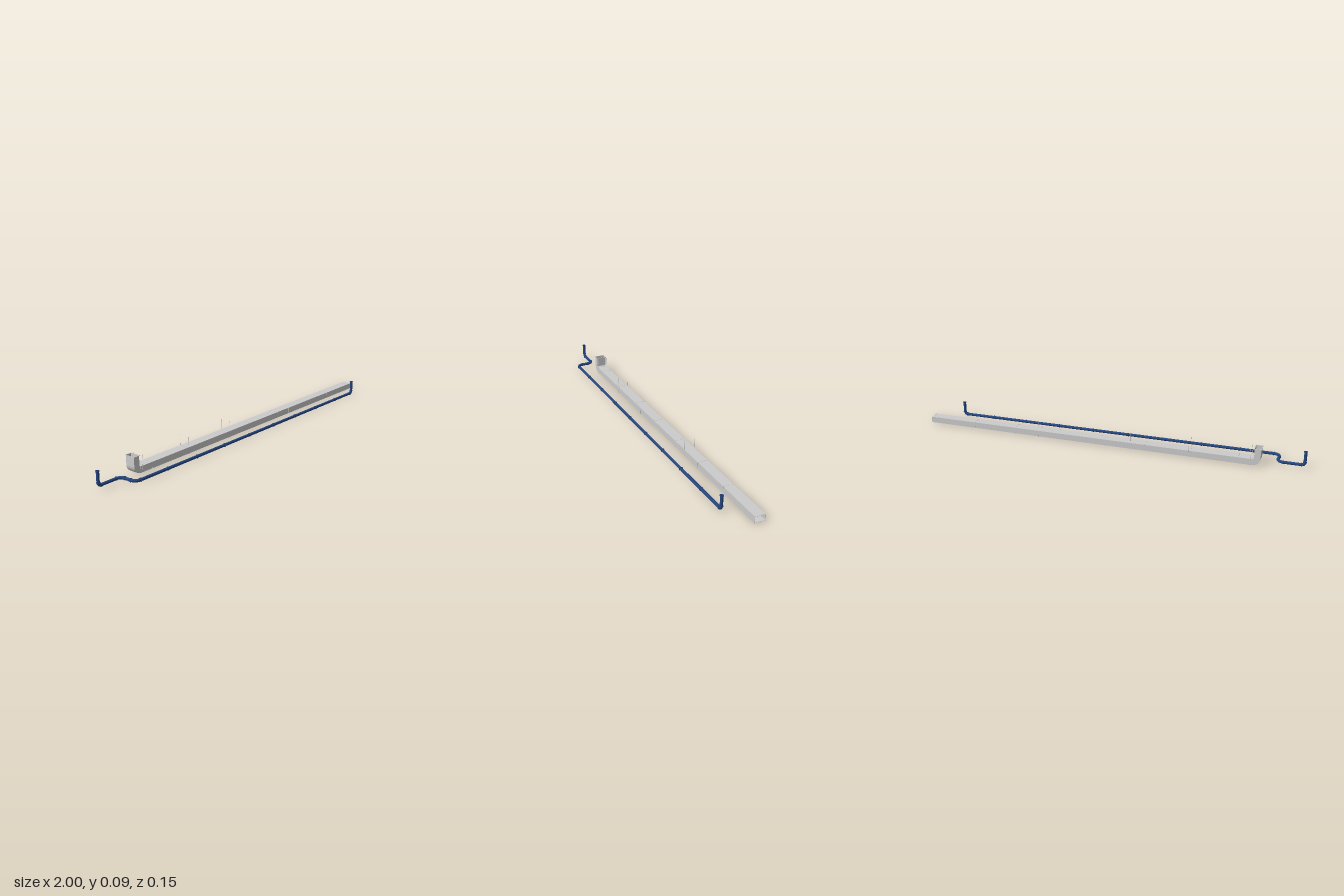
import * as THREE from 'three';

const grey = new THREE.MeshStandardMaterial({ color: 0xcccccc, side: THREE.DoubleSide });
const blue = new THREE.MeshStandardMaterial({ color: 0x24457f, side: THREE.DoubleSide });
const V = (x, y, z) => new THREE.Vector3(x, y, z);
const UP = V(0, 1, 0);

function add(parent, name, geometry, material) {
  const mesh = new THREE.Mesh(geometry, material);
  mesh.name = name;
  parent.add(mesh);
  return mesh;
}

// Round bar or open tube between two points
function rod(parent, name, a, b, r, material, open, sides) {
  const mesh = add(parent, name, new THREE.CylinderGeometry(r, r, a.distanceTo(b), sides, 1, open), material);
  mesh.position.copy(a).lerp(b, 0.5);
  mesh.quaternion.setFromUnitVectors(UP, b.clone().sub(a).normalize());
}

// Hollow collar around the pipe
function collar(parent, name, p, dir) {
  const ri = 0.0065, ro = 0.0094, h = 0.0012;
  const pts = [[ri, -h], [ro, -h], [ro, h], [ri, h], [ri, -h]].map(q => new THREE.Vector2(...q));
  const geo = new THREE.LatheGeometry(pts, 20).toNonIndexed();
  geo.computeVertexNormals();
  const mesh = add(parent, name, geo, blue);
  mesh.position.copy(p);
  mesh.quaternion.setFromUnitVectors(UP, dir);
}

// Pipe along corner points, with a rounded elbow and two collars at each corner
function createPipe() {
  const g = new THREE.Group();
  g.name = 'pipe';
  const r = 0.0073, y = 0.019, top = 0.0868;
  const pts = [V(-0.99, top, -0.026), V(-0.99, y, -0.026), V(-0.862, y, -0.026),
    V(-0.862, y, 0.066), V(0.87, y, 0.066), V(0.87, top, 0.066)];
  const bends = [0, 0.014, 0.027, 0.03, 0.014, 0];
  for (let i = 0; i < pts.length - 1; i++) {
    const d = pts[i + 1].clone().sub(pts[i]).normalize();
    const a = pts[i].clone().addScaledVector(d, bends[i]);
    const b = pts[i + 1].clone().addScaledVector(d, -bends[i + 1]);
    rod(g, 'pipeRun', a, b, r, blue, true, 20);
    collar(g, 'pipeCollar', a, d);
    collar(g, 'pipeCollar', b, d);
    if (i < pts.length - 2) {
      const p = pts[i + 1];
      const e = pts[i + 2].clone().sub(p).normalize().multiplyScalar(bends[i + 1]).add(p);
      const curve = new THREE.CubicBezierCurve3(b, b.clone().lerp(p, 0.552), e.clone().lerp(p, 0.552), e);
      add(g, 'pipeElbow', new THREE.TubeGeometry(curve, 10, r, 20), blue);
    }
  }
  // Joints along the long run
  for (let i = 0; i < 8; i++) collar(g, 'pipeJoint', V(-0.665 + 0.194 * i, y, 0.066), V(1, 0, 0));
  return g;
}

const Z0 = -0.072, Z1 = -0.02, BOTTOM = 0.0025, TOP = 0.0335;

// Open rectangular duct: four walls swept along inner and outer rails
function ductGeometry(rails) {
  const pos = [], index = [];
  const corners = ([inner, outer]) => [
    [...inner, Z1], [...inner, Z0], [...outer, Z0], [...outer, Z1]];
  for (let w = 0; w < 4; w++) {
    const base = pos.length / 3;
    rails.forEach((rail, i) => {
      const c = corners(rail);
      pos.push(...c[w], ...c[(w + 1) % 4]);
      if (i === 0) return;
      const k = base + 2 * (i - 1);
      index.push(k, k + 2, k + 1, k + 1, k + 2, k + 3);
    });
  }
  const geo = new THREE.BufferGeometry();
  geo.setAttribute('position', new THREE.Float32BufferAttribute(pos, 3));
  geo.setIndex(index);
  geo.computeVertexNormals();
  return geo;
}

// Flat rectangular frame with a hole, extruded along its local z
function frameGeometry(w, h, rim, depth) {
  const rect = (T, a, b) => new T([[-a, -b], [a, -b], [a, b], [-a, b]].map(q => new THREE.Vector2(...q)));
  const shape = rect(THREE.Shape, w / 2 + rim, h / 2 + rim);
  shape.holes.push(rect(THREE.Path, w / 2 - 0.0003, h / 2 - 0.0003));
  return new THREE.ExtrudeGeometry(shape, { depth, bevelEnabled: false }).translate(0, 0, -depth / 2);
}

function createDuct() {
  const g = new THREE.Group();
  g.name = 'duct';
  const h = TOP - BOTTOM, w = Z1 - Z0, zc = (Z0 + Z1) / 2;
  const left = -0.787, ri = 0.007, ro = ri + h;
  const cx = left + ro, cy = BOTTOM + ro;

  // Elbow rails, from the riser foot round to the horizontal run
  const bend = [];
  for (let i = 0; i <= 10; i++) {
    const t = Math.PI + (Math.PI / 2) * (i / 10);
    bend.push([ri, ro].map(r => [cx + r * Math.cos(t), cy + r * Math.sin(t)]));
  }
  add(g, 'ductRiser', ductGeometry([[[left + h, 0.0875], [left, 0.0875]], bend[0]]), grey);
  add(g, 'ductElbow', ductGeometry(bend), grey);
  add(g, 'ductRun', ductGeometry([bend[10], [[0.9995, TOP], [0.9995, BOTTOM]]]), grey);

  // Flange on the riser mouth
  const flange = add(g, 'riserFlange', frameGeometry(h, w, 0.003, 0.0015), grey);
  flange.rotation.x = Math.PI / 2;
  flange.position.set(left + h / 2, 0.0873, zc);

  // Thin seams along the run and the end rim
  const seams = [cx, 0.9992];
  for (let i = 0; i < 7; i++) seams.push(0.737 - 0.236 * i);
  for (const x of seams) {
    const seam = add(g, 'ductSeam', frameGeometry(w, h, 0.0006, 0.0015), grey);
    seam.rotation.y = Math.PI / 2;
    seam.position.set(x, (TOP + BOTTOM) / 2, zc);
  }
  return g;
}

// Trapeze hangers: two thin rods and a bar under the duct
function createHangers() {
  const g = new THREE.Group();
  g.name = 'hangers';
  for (const x of [-0.738, -0.437, -0.136, 0.365]) {
    const zs = [Z0 - 0.001, Z1 + 0.001];
    for (const z of zs) rod(g, 'hangerRod', V(x, 0.001, z), V(x, 0.087, z), 0.0006, grey, false, 8);
    const bar = add(g, 'hangerBar', new THREE.BoxGeometry(0.003, 0.002, Z1 - Z0 + 0.004), grey);
    bar.position.set(x, 0.001, (Z0 + Z1) / 2);
  }
  return g;
}

export function createModel() {
  const model = new THREE.Group();
  model.name = 'ductAndPipe';
  model.add(createPipe(), createDuct(), createHangers());
  return model;
}
